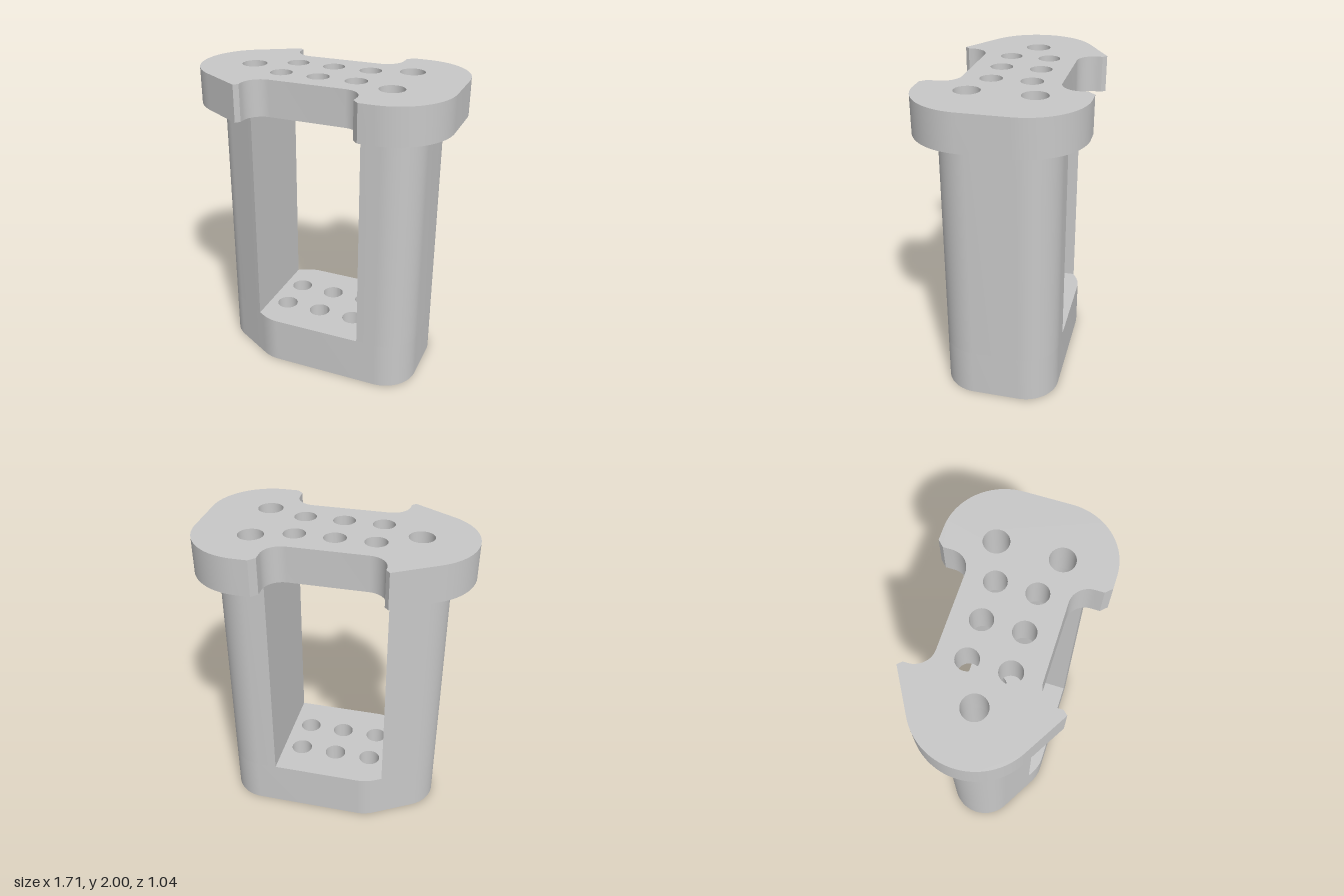
import * as THREE from 'three';
import { toCreasedNormals } from 'three/addons/utils/BufferGeometryUtils.js';

const DEG = Math.PI / 180;

// Heights of the base top and the plate underside
const BASE_TOP = 0.316;
const PLATE_BOTTOM = 1.766;

// Points along an arc, angles in degrees
function arc(cx, cy, r, from, to, steps = 16) {
  return Array.from({ length: steps + 1 }, (_, i) => {
    const a = (from + ((to - from) * i) / steps) * DEG;
    return new THREE.Vector2(cx + r * Math.cos(a), cy + r * Math.sin(a));
  });
}

const points = (...list) => list.map(([x, y]) => new THREE.Vector2(x, y));

// Closed counter-clockwise outline from its upper half, mirrored across the x axis
function mirrored(half) {
  const lower = half
    .filter((p) => Math.abs(p.y) > 1e-5)
    .map((p) => new THREE.Vector2(p.x, -p.y));
  return [...lower, ...[...half].reverse()];
}

// Vertical slab with round holes [x, z, radius]
function slab(name, half, holes, bottom, top, material) {
  const shape = new THREE.Shape(mirrored(half));
  for (const [x, z, r] of holes) {
    const hole = new THREE.Path();
    hole.absarc(x, -z, r, 0, Math.PI * 2, true);
    shape.holes.push(hole);
  }
  const extruded = new THREE.ExtrudeGeometry(shape, {
    depth: top - bottom, bevelEnabled: false, curveSegments: 20,
  });
  extruded.rotateX(-Math.PI / 2);
  extruded.translate(0, bottom, 0);
  const mesh = new THREE.Mesh(toCreasedNormals(extruded, 0.4), material);
  mesh.name = name;
  return mesh;
}

export function createModel() {
  const group = new THREE.Group();
  group.name = 'perforatedFrame';
  const grey = new THREE.MeshStandardMaterial({ color: 0xc8c8c8 });
  grey.name = 'grey';

  // Holes: one at the narrow end, two at the wide end, six in the middle
  const narrowHoles = [[-0.511, 0, 0.08]];
  const wideHoles = [[0.484, -0.199, 0.08], [0.484, 0.199, 0.08]];
  const middleHoles = [-0.261, -0.013, 0.235].flatMap((x) =>
    [-0.125, 0.125].map((z) => [x, z, 0.07]));
  const allHoles = [...narrowHoles, ...wideHoles, ...middleHoles];

  // Rounded ends of the body
  const narrowEnd = arc(-0.478, 0, 0.23, 180, 120);
  const wideEnd = arc(0.484, 0.15, 0.223, 90, 0);
  const shoulder = new THREE.QuadraticBezierCurve(
    ...points([-0.36, 0.332], [-0.292, 0.373], [-0.23, 0.373])).getPoints(8);

  // Base and the two columns
  const base = [...narrowEnd, ...shoulder, ...wideEnd];
  group.add(slab('base', base, allHoles, 0, BASE_TOP, grey));
  const narrowColumn = [...narrowEnd, ...points([-0.385, 0.318])];
  group.add(slab('rightColumn', narrowColumn, narrowHoles, BASE_TOP, PLATE_BOTTOM, grey));
  const wideColumn = [...points([0.36, 0.373]), ...wideEnd];
  group.add(slab('leftColumn', wideColumn, wideHoles, BASE_TOP, PLATE_BOTTOM, grey));

  // Top plate with a waist cut into both long sides
  const plate = [
    ...arc(-0.478, 0, 0.378, 180, 120, 24),
    ...points([-0.404, 0.48], [-0.379, 0.453]),
    ...arc(-0.259, 0.425, 0.12, 180, 270),
    ...arc(0.235, 0.425, 0.12, 270, 360),
    ...points([0.355, 0.481], [0.393, 0.52]),
    ...arc(0.484, 0.149, 0.371, 90, 0, 24),
  ];
  group.add(slab('topPlate', plate, allHoles, PLATE_BOTTOM, 2, grey));

  return group;
}
